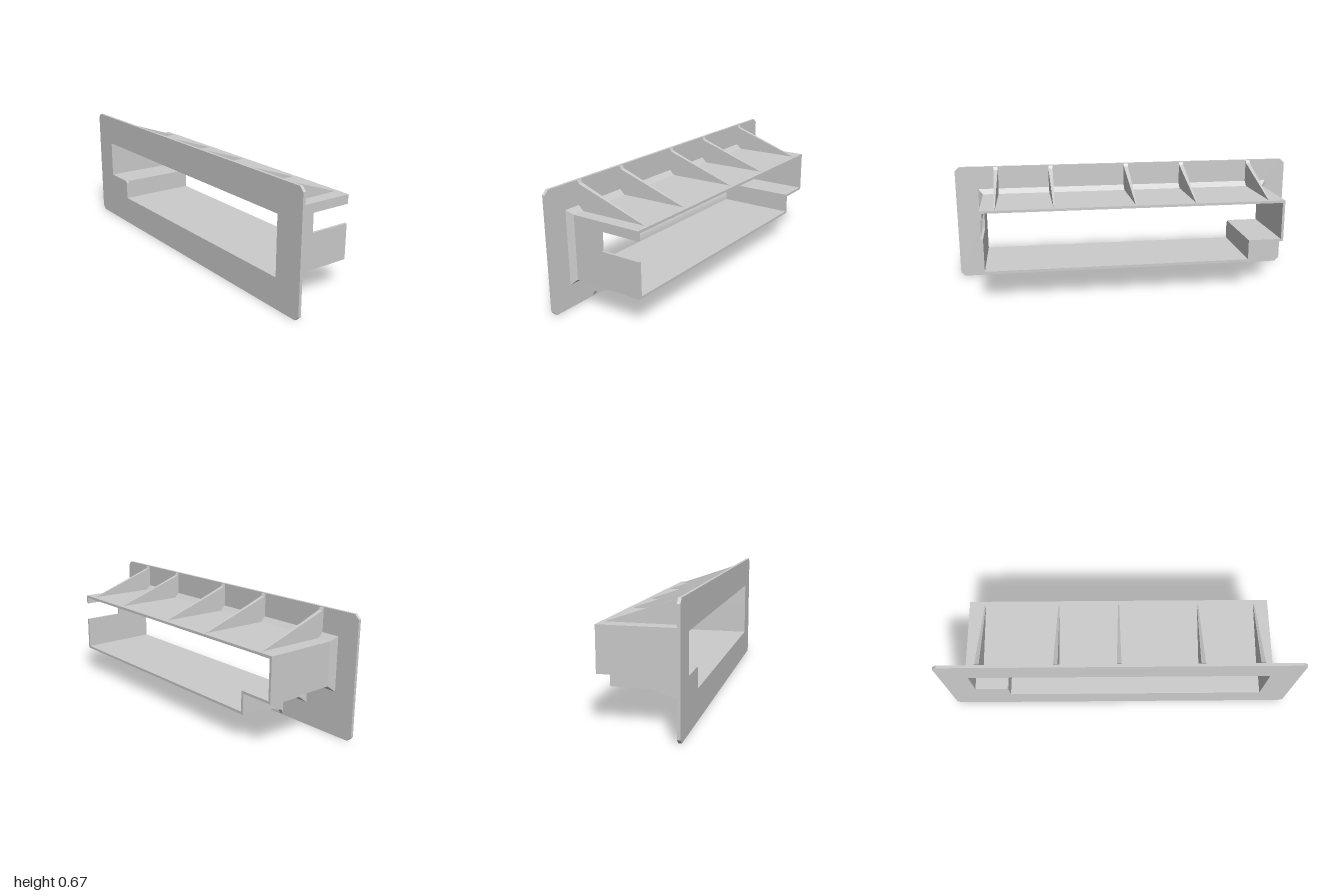
import * as THREE from 'three';

const BACK = -0.226, PLATE_BACK = 0.21, FRONT = 0.226;
const SLOT = { bottom: 0.35, top: 0.455, front: 0.007 };
const material = new THREE.MeshStandardMaterial({ color: 0xcccccc, flatShading: true });

// Stepped opening outline, grown outwards by d (counter-clockwise from the step)
function outline(d) {
  return [
    [-0.65 - d, 0.167 - d], [0.83 + d, 0.167 - d], [0.83 + d, 0.492 + d],
    [-0.84 - d, 0.492 + d], [-0.84 - d, 0.28 - d], [-0.65 - d, 0.28 - d],
  ].map(([x, y]) => new THREE.Vector2(x, y));
}

// Opening path with the inside corner of the step rounded
function openingPath(path) {
  const p = outline(0), r = 0.018;
  path.moveTo(p[0].x, p[0].y);
  for (let i = 1; i < 5; i++) path.lineTo(p[i].x, p[i].y);
  path.lineTo(p[5].x - r, p[5].y);
  path.quadraticCurveTo(p[5].x, p[5].y, p[5].x, p[5].y - r);
  path.closePath();
  return path;
}

function extrude(shape, z0, z1) {
  const geo = new THREE.ExtrudeGeometry(shape, { depth: z1 - z0, bevelEnabled: false, curveSegments: 5 });
  return geo.translate(0, 0, z0);
}

function add(group, name, geo) {
  const mesh = new THREE.Mesh(geo, material);
  mesh.name = name;
  group.add(mesh);
}

// Front plate with clipped corners
function plateGeometry() {
  const c = 0.024, h = 0.665;
  const shape = new THREE.Shape([
    [-1 + c, 0], [1 - c, 0], [1, c], [1, h - c], [1 - c, h], [-1 + c, h], [-1, h - c], [-1, c],
  ].map(([x, y]) => new THREE.Vector2(x, y)));
  shape.holes.push(openingPath(new THREE.Path()));
  return extrude(shape, PLATE_BACK, FRONT);
}

// Sleeve wall as an open C, broken at the slot in the left wall
function sleeveGeometry() {
  const o = outline(0.014), i = outline(0);
  const v = (x, y) => new THREE.Vector2(x, y);
  const shape = new THREE.Shape([
    v(o[1].x, SLOT.top), o[2], o[3], o[4], o[5], o[0], o[1], v(o[1].x, SLOT.bottom),
    v(i[1].x, SLOT.bottom), i[1], i[0], i[5], i[4], i[3], i[2], v(i[1].x, SLOT.top),
  ]);
  return extrude(shape, BACK, PLATE_BACK);
}

// Sloping collar where the sleeve meets the plate
function collarGeometry() {
  const small = outline(0.014), large = outline(0.041), pos = [];
  for (let k = 0; k < 6; k++) {
    const n = (k + 1) % 6;
    const a = [small[k].x, small[k].y, 0.182], b = [small[n].x, small[n].y, 0.182];
    const c = [large[n].x, large[n].y, PLATE_BACK], d = [large[k].x, large[k].y, PLATE_BACK];
    pos.push(...a, ...b, ...c, ...a, ...c, ...d);
  }
  const geo = new THREE.BufferGeometry();
  geo.setAttribute('position', new THREE.Float32BufferAttribute(pos, 3));
  geo.computeVertexNormals();
  return geo;
}

// Gusset rib, thinning towards the back; curved ribs have a concave edge
function ribGeometry(x, root, tip, shoulder, edge, curved) {
  const shape = new THREE.Shape();
  shape.moveTo(PLATE_BACK, root);
  shape.lineTo(PLATE_BACK, edge);
  shape.lineTo(0.2, shoulder);
  if (curved) shape.quadraticCurveTo(0.1, tip + (shoulder - tip) * 0.35, -0.2, tip);
  else shape.lineTo(-0.2, tip);
  shape.lineTo(-0.2, root);
  shape.closePath();
  const geo = new THREE.ExtrudeGeometry(shape, { depth: 1, bevelEnabled: false, curveSegments: 10 });
  geo.translate(0, 0, -0.5).rotateY(-Math.PI / 2);
  const p = geo.attributes.position;
  for (let i = 0; i < p.count; i++) {
    const t = (p.getZ(i) + 0.2) / 0.41;
    p.setX(i, x + p.getX(i) * (0.007 + 0.018 * t));
  }
  geo.computeVertexNormals();
  return geo;
}

export function createModel() {
  const model = new THREE.Group();
  model.name = 'recessedFrame';

  add(model, 'frontPlate', plateGeometry());
  add(model, 'sleeve', sleeveGeometry());
  add(model, 'collar', collarGeometry());

  // Wall in front of the slot
  const bridge = new THREE.BoxGeometry(0.014, SLOT.top - SLOT.bottom, PLATE_BACK - SLOT.front);
  bridge.translate(0.837, (SLOT.top + SLOT.bottom) / 2, (PLATE_BACK + SLOT.front) / 2);
  add(model, 'slotBridge', bridge);

  // Ribs above and below the sleeve
  for (const x of [-0.765, -0.345, -0.005, 0.445, 0.765])
    add(model, 'topRib', ribGeometry(x, 0.5, 0.508, 0.646, 0.663, false));
  for (const x of [-0.51, -0.1, 0.06, 0.29, 0.7])
    add(model, 'bottomRib', ribGeometry(x, 0.16, 0.151, 0.03, 0.004, x === 0.06));

  return model;
}
